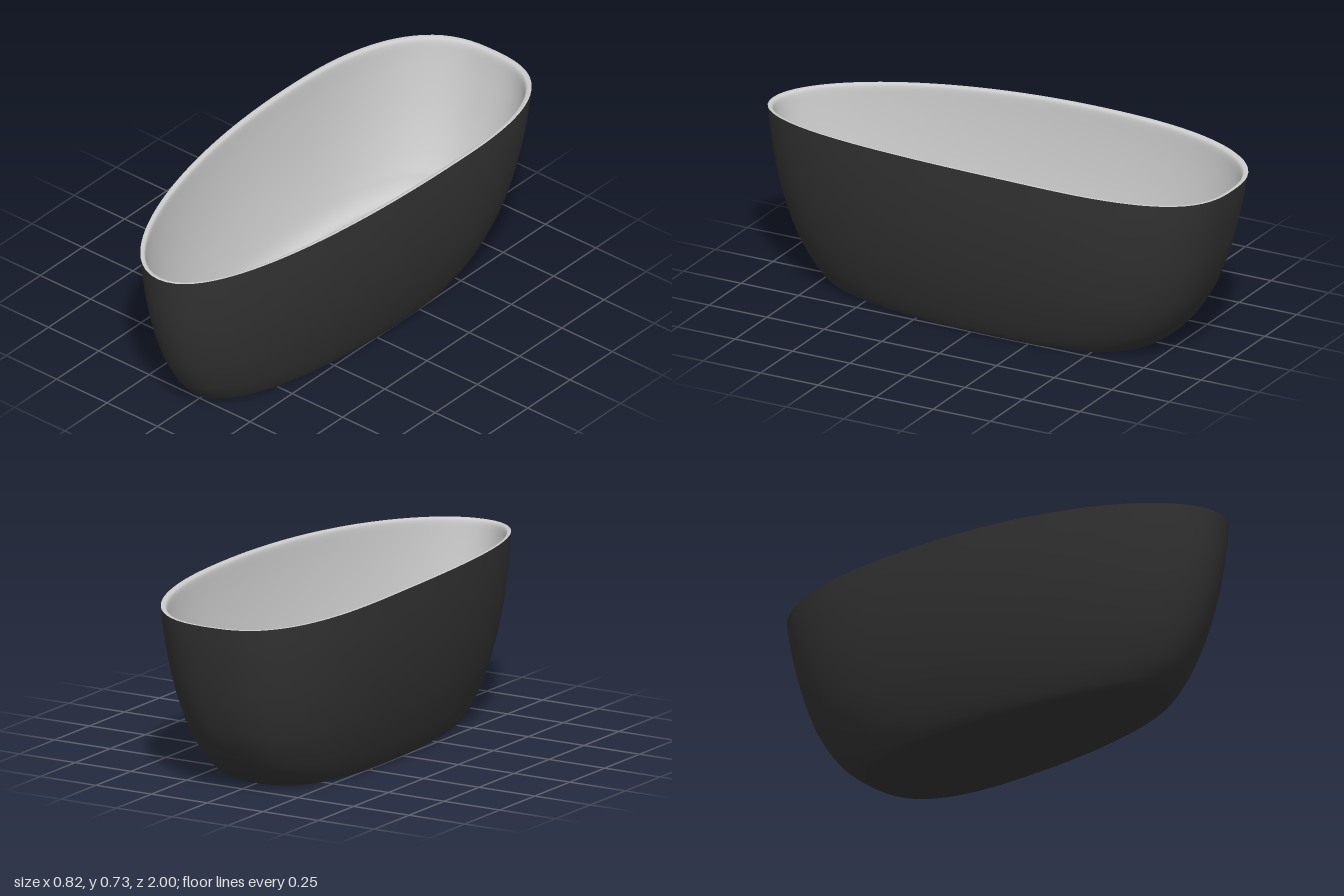
import * as THREE from 'three';

const SEG = 128;      // points round the tub
const TOP = 0.7;      // nominal rim height
const HALF = 0.41;    // half width at the rim
const WALL = 0.022;   // wall thickness
const WIDEST = -0.25; // z of the widest place

// Egg-shaped plan outline: a long rounded front and a blunter back, from the back round the left side
const outline = Array.from({ length: 64 }, (_, i) => {
  const a = (i / 64) * Math.PI * 2, s = Math.sin(a), c = -Math.cos(a);
  const power = 2 / (c > 0 ? 2.07 : 2.65);
  const reach = c > 0 ? 1 - WIDEST : 1 + WIDEST;
  return new THREE.Vector3(HALF * Math.sign(s) * Math.abs(s) ** power, 0,
    WIDEST + reach * Math.sign(c) * Math.abs(c) ** power);
});
const egg = new THREE.CatmullRomCurve3(outline, true).getSpacedPoints(SEG).slice(0, SEG);

// Wall profile: height, half width, front end, back end
const profile = [[0, 0.25, 0.72, -0.64], [0.008, 0.261, 0.745, -0.67], [0.04, 0.279, 0.782, -0.722],
  [0.1, 0.304, 0.831, -0.787], [0.2, 0.338, 0.885, -0.856], [0.3, 0.364, 0.923, -0.901], [0.4, 0.384, 0.952, -0.935],
  [0.5, 0.398, 0.973, -0.961], [0.6, 0.407, 0.988, -0.983], [0.7, 0.411, 1, -1]];
const spline = (pick) => new THREE.CatmullRomCurve3(
  profile.map((p) => new THREE.Vector3(...pick(p))), false, 'catmullrom', 0.5);
const widths = spline(([y, w]) => [y, w, 0]);
const ends = spline(([y, , f, b]) => [y, f, b]);

// Section at parameter u, with height, half width, front and back
function section(u) {
  const a = widths.getPoint(u), b = ends.getPoint(u);
  return { y: a.x, w: a.y, f: b.y, b: b.z };
}
const inset = (s, d, y = s.y) => ({ y, w: s.w - d, f: s.f - d, b: s.b + d });
const centre = (s) => ({ y: s.y, w: 0, f: (s.f + s.b) / 2, b: (s.f + s.b) / 2 });

// The rim is highest near the middle and dips to both ends
const rimHeight = (z) => 0.727 - (z > -0.1 ? 0.051 * ((z + 0.1) / 1.1) ** 2 : 0.037 * ((z + 0.1) / 0.9) ** 2);

function ring({ y, w, f, b }) {
  return egg.map((p) => new THREE.Vector3(
    (p.x / HALF) * w,
    y + (rimHeight(p.z) - TOP) * (y / TOP) ** 2,
    (f + b) / 2 + (p.z * (f - b)) / 2));
}

// Skin a list of sections, leaving out the empty triangles at a centre point
function loft(name, sections, material) {
  const index = [];
  sections.slice(1).forEach((next, j) => {
    for (let i = 0; i < SEG; i++) {
      const k = (i + 1) % SEG;
      const a = j * SEG + i, b = a + SEG, c = j * SEG + k, d = c + SEG;
      if (sections[j].w > 0) index.push(a, b, c);
      if (next.w > 0) index.push(c, b, d);
    }
  });
  const geometry = new THREE.BufferGeometry().setFromPoints(sections.flatMap(ring));
  geometry.setIndex(index);
  geometry.computeVertexNormals();
  const mesh = new THREE.Mesh(geometry, material);
  mesh.name = name;
  return mesh;
}

export function createModel() {
  const group = new THREE.Group();
  group.name = 'bathtub';
  const dark = new THREE.MeshStandardMaterial({ color: 0x333333 });
  const grey = new THREE.MeshStandardMaterial({ color: 0xcccccc });
  const steps = (n, fn) => Array.from({ length: n + 1 }, (_, i) => fn(i / n));

  // Flat underside and curved outer wall
  const foot = section(0);
  group.add(loft('underside', [centre(foot), inset(foot, 0.1), foot], dark));
  group.add(loft('outerShell', steps(45, section), dark));

  // Narrow rim with a softened inner edge
  const top = section(1);
  const rim = [top, inset(top, 0.005, TOP + 0.001), inset(top, 0.013, TOP),
    inset(top, 0.018, TOP - 0.003), inset(top, 0.021, TOP - 0.008)];

  // Inner wall, rounded into the floor
  const low = 0.42; // profile parameter where the rounding starts
  const wall = steps(30, (t) => inset(section(0.98 + (low - 0.98) * t), WALL));
  const start = wall[wall.length - 1];
  const bend = new THREE.QuadraticBezierCurve(new THREE.Vector2(0, start.y),
    new THREE.Vector2(0.025, 0.1), new THREE.Vector2(0.065, 0.1));
  const fillet = bend.getPoints(14).slice(1).map((p) => inset(start, p.x, p.y));
  const floor = fillet[fillet.length - 1];
  group.add(loft('rimAndBasin', [...rim, ...wall, ...fillet, inset(floor, 0.08), centre(floor)], grey));
  return group;
}
